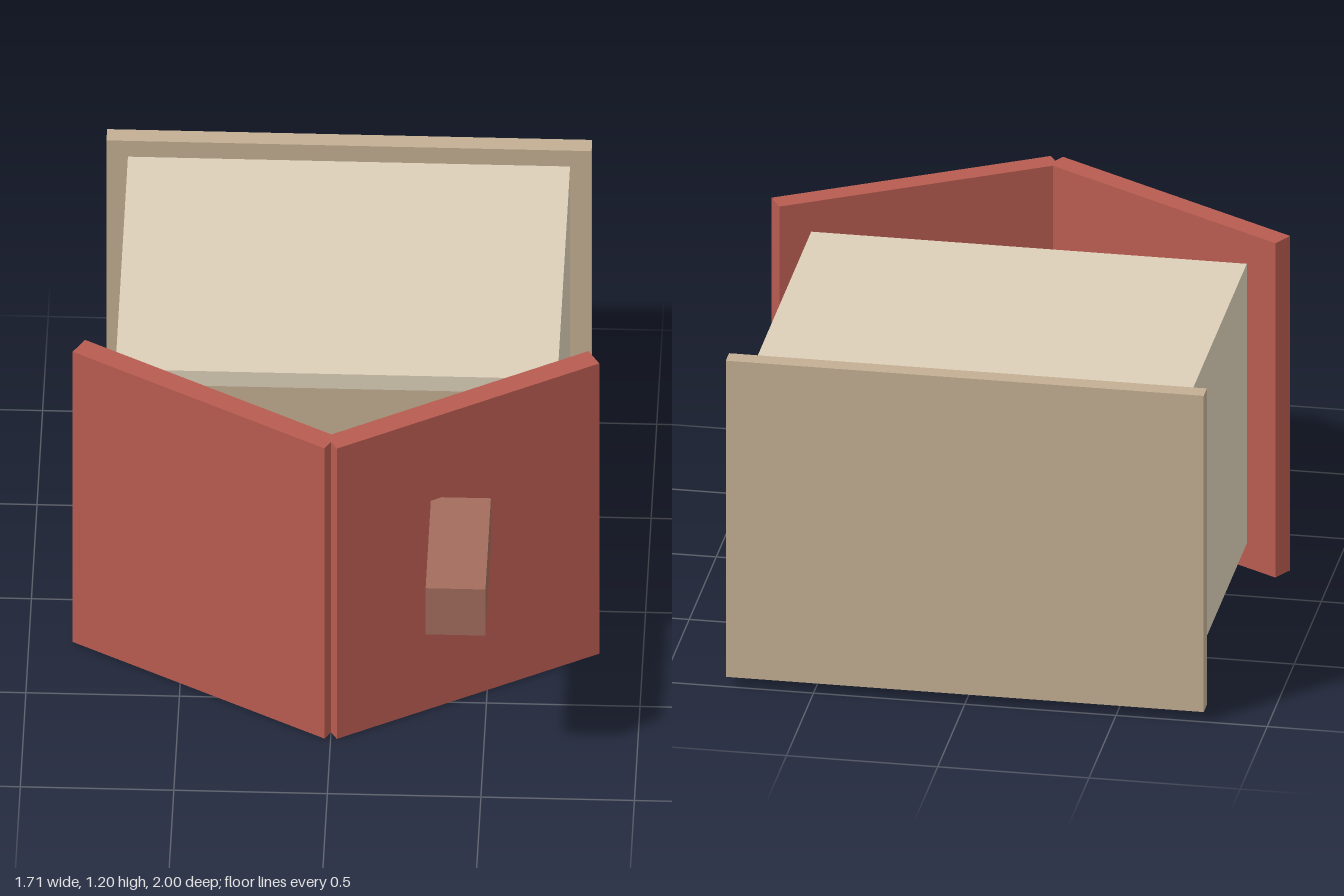
import * as THREE from 'three';

const mat = (color) => new THREE.MeshStandardMaterial({ color, flatShading: true });
const WALL = mat(0xdccfb8), FLOOR = mat(0xc2ae92), ROOF = mat(0xb85c50), BRICK = mat(0xa36c5c);
const DOOR = mat(0x9a7050), FRAME = mat(0x6f9fc6), GLASS = mat(0xbcd6e2), BRASS = mat(0xd0a850);

// Box given by its minimum and maximum corners
function box(name, material, [x0, y0, z0], [x1, y1, z1]) {
  const mesh = new THREE.Mesh(new THREE.BoxGeometry(x1 - x0, y1 - y0, z1 - z0), material);
  mesh.position.set((x0 + x1) / 2, (y0 + y1) / 2, (z0 + z1) / 2);
  mesh.name = name;
  return mesh;
}

export function createModel() {
  const house = new THREE.Group();
  house.name = 'dollhouse';

  // House lying on its open face: base plate, long wall and middle floor
  house.add(
    box('basePlate', FLOOR, [-0.79, 0.035, -1], [0.79, 1.165, -0.94]),
    box('rearWall', WALL, [-0.72, 1.04, -0.94], [0.72, 1.1, 0.19]),
    box('middleFloor', FLOOR, [-0.66, 0.15, -0.4], [0.66, 1.04, -0.35]),
    box('chimney', BRICK, [0.32, 0.665, 0.515], [0.515, 0.855, 1])
  );

  for (const s of [-1, 1]) {
    const side = s > 0 ? 'left' : 'right';
    // Side wall
    house.add(box(side + 'Wall', WALL, [s * 0.69 - 0.03, 0.1, -0.94], [s * 0.69 + 0.03, 1.04, 0.19]));

    // Sloping roof panel
    const roof = new THREE.Mesh(new THREE.BoxGeometry(0.967, 1.195, 0.075), ROOF);
    roof.name = side + 'RoofPanel';
    roof.position.set(s * 0.42, 0.5975, 0.434);
    roof.rotation.y = s * Math.PI / 6;
    house.add(roof);

    // Window: frame with a slightly raised pane
    const win = new THREE.Group();
    win.name = side + 'Window';
    win.add(
      box('windowFrame', FRAME, [-0.14, 0.052, -0.34], [0.14, 0.1, -0.05]),
      box('windowPane', GLASS, [-0.1, 0.045, -0.3], [0.1, 0.09, -0.09])
    );
    win.position.x = s * 0.43;
    house.add(win);
  }

  // Door and knob
  house.add(box('door', DOOR, [-0.165, 0.056, -0.94], [0.165, 0.1, -0.35]));
  const knob = new THREE.Mesh(new THREE.SphereGeometry(0.027, 10, 8), BRASS);
  knob.name = 'doorKnob';
  knob.position.set(0.12, 0.067, -0.642);
  house.add(knob);

  return house;
}
